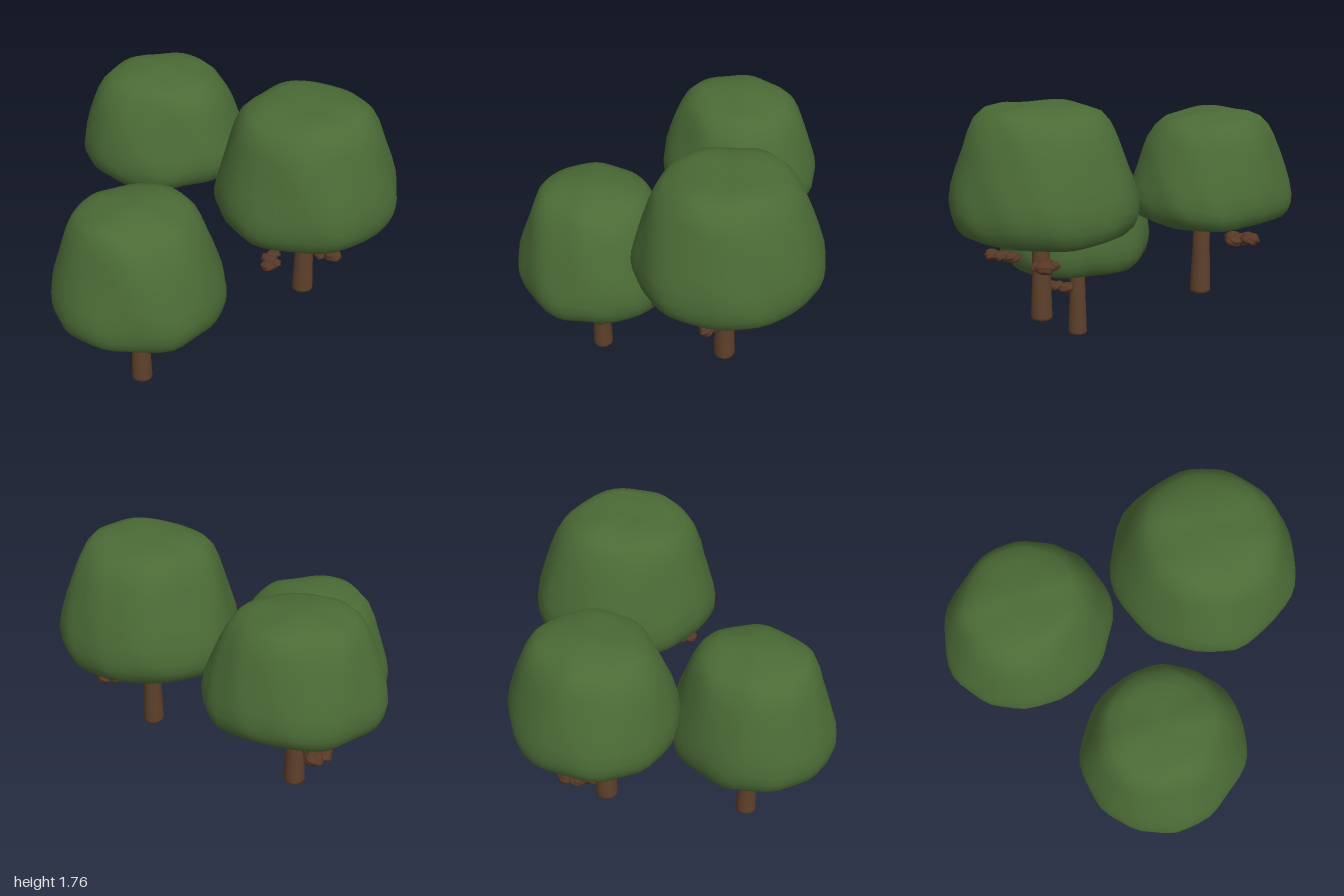
import * as THREE from 'three';
import { mergeVertices } from 'three/addons/utils/BufferGeometryUtils.js';

const leaf = new THREE.MeshStandardMaterial({ color: 0x4b6b36 });
leaf.name = 'leaf green';
const bark = new THREE.MeshStandardMaterial({ color: 0x5e402b });
bark.name = 'bark brown';
const twig = new THREE.MeshStandardMaterial({ color: 0x573826 });
twig.name = 'twig brown';

// Weld a geometry, move each vertex by a rule, and give it smooth normals
function sculpt(geometry, rule) {
  geometry.deleteAttribute('uv');
  geometry.deleteAttribute('normal');
  const g = mergeVertices(geometry, 1e-4);
  const p = g.attributes.position;
  const v = new THREE.Vector3();
  for (let i = 0; i < p.count; i++) {
    rule(v.fromBufferAttribute(p, i));
    p.setXYZ(i, v.x, v.y, v.z);
  }
  g.computeVertexNormals();
  return g;
}

function part(name, geometry, material, parent) {
  const m = new THREE.Mesh(geometry, material);
  m.name = name;
  parent.add(m);
  return m;
}

// Canopy outline: radius and height as fractions of the crown, bottom to top
const OUTLINE = [
  [0, 0.06], [0.35, 0.045], [0.65, 0.03], [0.8, 0.035], [0.9, 0.065], [0.96, 0.115], [0.99, 0.18],
  [1, 0.26], [0.975, 0.37], [0.92, 0.5], [0.85, 0.65], [0.785, 0.77], [0.71, 0.87], [0.61, 0.94],
  [0.45, 0.98], [0.22, 1], [0, 1],
].map(([r, h]) => new THREE.Vector2(r, h));

// Broad crown with soft uneven lumps; top leans by (lean x, lean z), tilt raises the +x side
function canopy({ size, lean, tilt, seed }) {
  const [w, h, d] = size;
  return sculpt(new THREE.LatheGeometry(OUTLINE, 44), (v) => {
    const { x, y, z } = v;
    const lump = 1 + 0.016 * Math.sin(4 * x + 3 * y + seed) * Math.cos(4 * z - seed)
      + 0.012 * Math.sin(7 * x - 5 * z + 4 * y + 2 * seed)
      + 0.008 * Math.sin(11 * z + 9 * x - 8 * y + seed);
    const ripple = 0.012 * Math.sin(5 * x + 3 * z + seed) + 0.008 * Math.sin(9 * z - 6 * x + seed)
      + tilt * x * y;
    v.set(x * lump * w + lean[0] * y * y, (y + ripple) * h, z * lump * d + lean[1] * y * y);
  });
}

// Cluster of knobbly lumps along x: each row is x, y, z offset and radius
const LUMPS = [
  [0.07, 0.012, 0.01, 0.055], [-0.065, -0.01, -0.015, 0.055], [0, 0, 0, 0.05],
  [-0.02, -0.008, 0.045, 0.045], [0.03, 0.008, -0.04, 0.04],
];
function cluster([x, y, z, turn, scale], seed, parent) {
  const group = new THREE.Group();
  group.name = 'twigCluster';
  LUMPS.forEach(([lx, ly, lz, r], i) => {
    const s = seed + i * 1.7;
    const g = sculpt(new THREE.IcosahedronGeometry(1, 4), (v) => {
      const k = 1 + 0.12 * Math.sin(4 * v.x + s) * Math.cos(3 * v.z - s)
        + 0.09 * Math.sin(6 * v.y + 5 * v.z + 2 * s);
      v.set(v.x * k * r * 1.15, v.y * k * r * 0.72, v.z * k * r);
    });
    const lump = part('lump', g, twig, group);
    lump.position.set(lx, ly, lz);
    lump.rotation.y = s;
  });
  group.position.set(x, y, z);
  group.rotation.y = turn;
  group.scale.setScalar(scale);
  parent.add(group);
}

// Gently tapered trunk with a rounded foot
function trunk(height) {
  const pts = [[0, 0], [0.052, 0], [0.061, 0.006], [0.064, 0.02], [0.061, 0.1], [0.054, 0.3],
    [0.049, height], [0, height]].map(([r, y]) => new THREE.Vector2(r, y));
  return sculpt(new THREE.LatheGeometry(pts, 16), (v) => {
    const k = 1 + 0.03 * Math.sin(3 * Math.atan2(v.z, v.x) + 4 * v.y);
    v.x *= k;
    v.z *= k;
  });
}

// Each cluster row is x, y, z, turn and scale
const TREES = [
  { name: 'frontTree', foot: [-0.48, 0, 0.48], crown: [-0.467, 0.505, 0.495], trunk: 0.62,
    size: [0.52, 0.76, 0.49], lean: [-0.01, -0.02], tilt: 0, seed: 1,
    clusters: [[-0.3, 0.38, 0.515, -0.8, 0.82]] },
  { name: 'backTree', foot: [-0.49, 0.48, -0.46], crown: [-0.48, 0.975, -0.52], trunk: 0.62,
    size: [0.52, 0.66, 0.475], lean: [-0.01, 0], tilt: 0, seed: 2.6,
    clusters: [[-0.64, 0.82, -0.66, 1.5, 1]] },
  { name: 'sideTree', foot: [0.465, 0.475, 0.07], crown: [0.463, 0.995, 0.045], trunk: 0.66,
    size: [0.54, 0.765, 0.555], lean: [-0.01, 0.015], tilt: 0.03, seed: 4.4,
    clusters: [[0.66, 0.88, -0.105, 0.8, 0.9], [0.61, 0.87, 0.24, -0.7, 0.82],
      [0.29, 0.87, 0.37, 1.57, 0.7]] },
];

export function createModel() {
  const model = new THREE.Group();
  model.name = 'treeGrove';
  for (const t of TREES) {
    const tree = new THREE.Group();
    tree.name = t.name;
    part('trunk', trunk(t.trunk), bark, tree).position.set(...t.foot);
    part('canopy', canopy(t), leaf, tree).position.set(...t.crown);
    t.clusters.forEach((c, i) => cluster(c, t.seed + i * 2, tree));
    model.add(tree);
  }
  return model;
}
